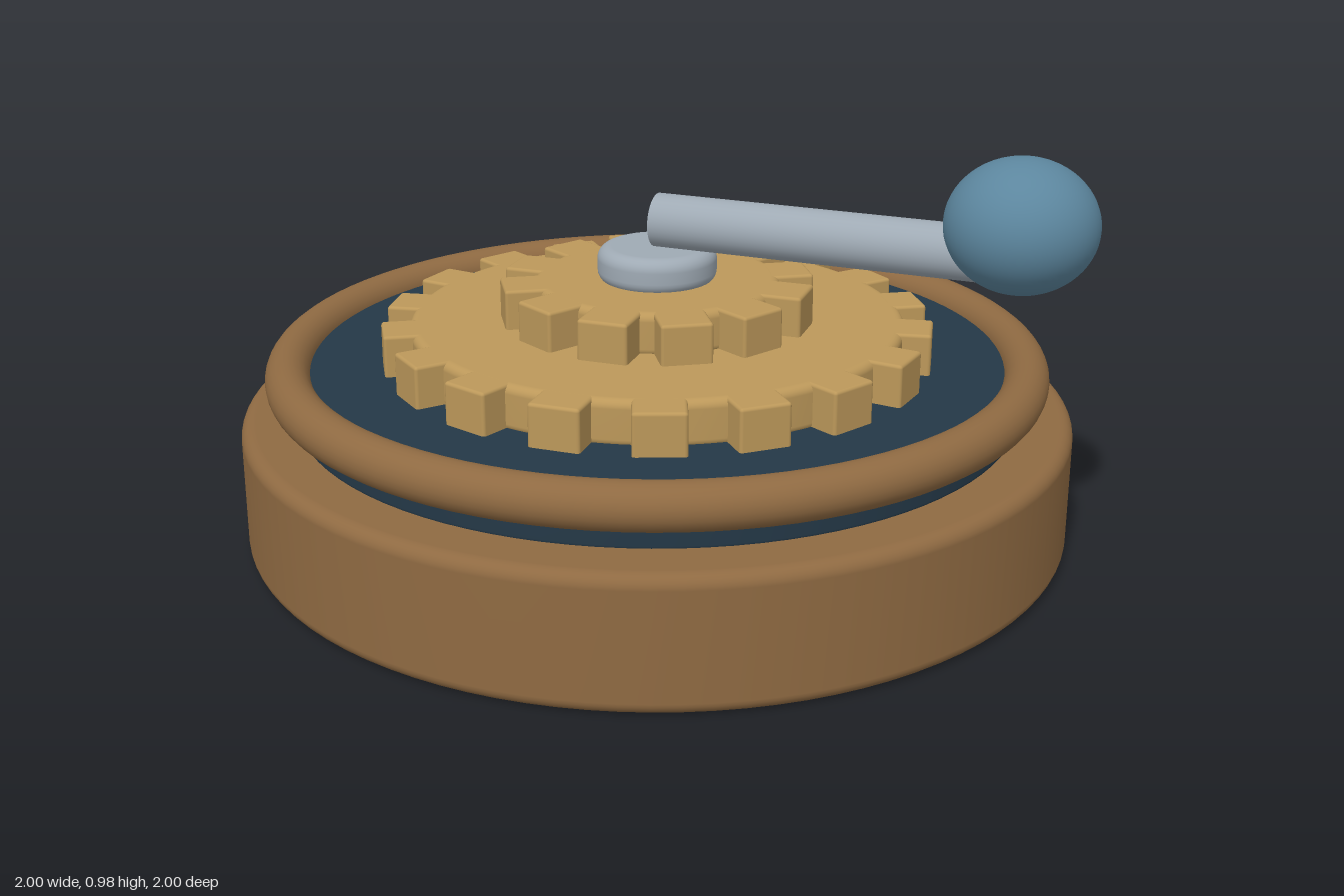
import * as THREE from 'three';
import { RoundedBoxGeometry } from 'three/addons/geometries/RoundedBoxGeometry.js';

function material(name, color) {
  const m = new THREE.MeshStandardMaterial({ color });
  m.name = name;
  return m;
}

// Solid disc from y0 to y1 with rounded rims
function discGeometry(radius, y0, y1, bevel) {
  const e = 0.003; // short flat run that keeps the caps evenly shaded
  const pts = [new THREE.Vector2(0, y0), new THREE.Vector2(radius - bevel - e, y0)];
  const arc = (cy, start) => {
    for (let i = 0; i <= 6; i++) {
      const a = start + (i / 6) * (Math.PI / 2);
      pts.push(new THREE.Vector2(radius - bevel + Math.cos(a) * bevel, cy + Math.sin(a) * bevel));
    }
  };
  arc(y0 + bevel, -Math.PI / 2);
  arc(y1 - bevel, 0);
  pts.push(new THREE.Vector2(radius - bevel - e, y1), new THREE.Vector2(0, y1));
  return new THREE.LatheGeometry(pts, 96);
}

export function createModel() {
  const wood = material('wood', 0x8f6a42);
  const navy = material('dark navy', 0x243847);
  const brass = material('brass', 0xbc985a);
  const steel = material('steel', 0x9faab4);
  const blue = material('knob blue', 0x5c869e);

  const model = new THREE.Group();
  model.name = 'crankGearToy';
  const add = (name, geometry, mat, parent = model) => {
    const mesh = new THREE.Mesh(geometry, mat);
    mesh.name = name;
    parent.add(mesh);
    return mesh;
  };

  // Base, recessed plate and raised rim
  add('base', discGeometry(1, 0, 0.31, 0.03), wood);
  add('plate', discGeometry(0.87, 0.3, 0.42, 0.015), navy);
  const rim = add('rim', new THREE.TorusGeometry(0.885, 0.053, 24, 96), wood);
  rim.rotation.x = Math.PI / 2;
  rim.position.y = 0.411;

  // Gears: a rounded disc with box teeth around it
  function addGear(name, teeth, bodyRadius, outerRadius, y0, y1) {
    const gear = new THREE.Group();
    gear.name = name;
    model.add(gear);
    add(name + 'Body', discGeometry(bodyRadius, y0, y1, 0.02), brass, gear);
    const length = outerRadius - bodyRadius + 0.06;
    const tooth = new RoundedBoxGeometry(length, y1 - y0, 0.12, 2, 0.008);
    tooth.translate(outerRadius - length / 2, (y0 + y1) / 2, 0);
    for (let i = 0; i < teeth; i++) {
      add(name + 'Tooth', tooth, brass, gear).rotation.y = (i / teeth) * Math.PI * 2;
    }
  }
  addGear('largeGear', 18, 0.595, 0.66, 0.41, 0.52);
  addGear('smallGear', 12, 0.295, 0.373, 0.51, 0.615);

  // Hub
  add('hub', discGeometry(0.143, 0.605, 0.692, 0.03), steel);

  // Crank arm and squashed ball knob
  const knobX = 0.73, knobZ = 0.463;
  const reach = Math.hypot(knobX, knobZ);
  const armGeometry = new THREE.CylinderGeometry(0.064, 0.064, reach, 32);
  armGeometry.rotateZ(-Math.PI / 2);
  armGeometry.translate(reach / 2, 0, 0);
  const arm = add('crankArm', armGeometry, steel);
  arm.position.y = 0.755;
  arm.rotation.y = -Math.atan2(knobZ, knobX);

  const knob = add('knob', new THREE.SphereGeometry(0.172, 48, 32), blue);
  knob.scale.y = 0.89;
  knob.position.set(knobX, 0.83, knobZ);

  return model;
}
